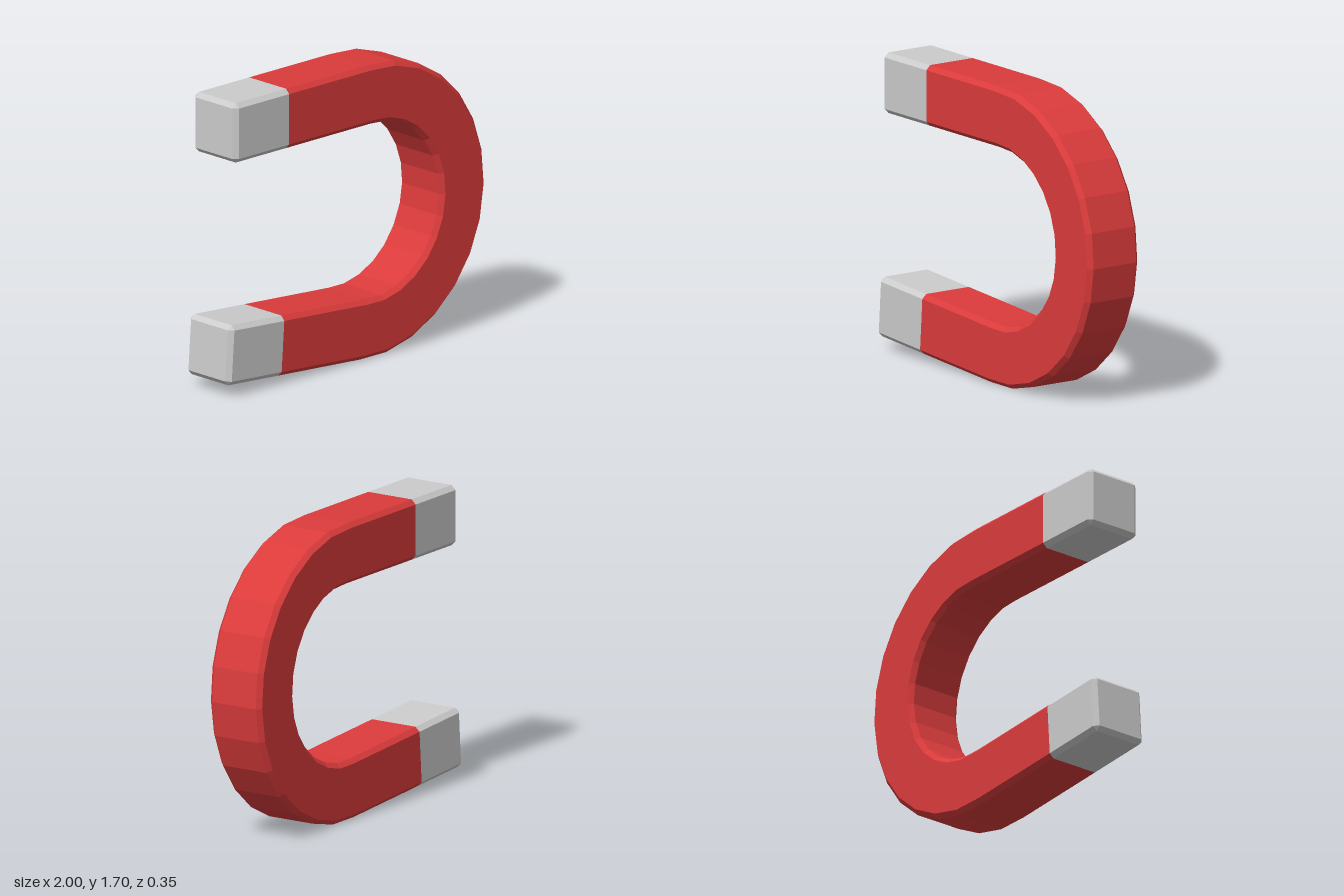
import * as THREE from 'three';

const HALF = 0.173;      // half thickness of the square bar
const BEVEL = 0.026;     // chamfer along every edge
const INNER = HALF - BEVEL;

// Chamfered square section, as [outward, z] pairs
const SECTION = [
  [HALF, -INNER], [HALF, INNER], [INNER, HALF], [-INNER, HALF],
  [-HALF, INNER], [-HALF, -INNER], [-INNER, -HALF], [INNER, -HALF],
];

// A station is a centre point, the angle of the outward direction, and
// whether its section shrinks to the chamfered end face.
function ring({ x, y, deg, end }) {
  const a = THREE.MathUtils.degToRad(deg);
  const clamp = v => (end ? THREE.MathUtils.clamp(v, -INNER, INNER) : v);
  return SECTION.map(([u, z]) => new THREE.Vector3(
    x + Math.cos(a) * clamp(u), y + Math.sin(a) * clamp(u), clamp(z)));
}

// Skin the stations, closing any chamfered end
function loft(name, stations, material) {
  const rings = stations.map(ring);
  const n = SECTION.length;
  const points = [];
  for (let i = 0; i < rings.length - 1; i++) {
    for (let j = 0; j < n; j++) {
      const k = (j + 1) % n;
      const [a, b, c, d] = [rings[i][j], rings[i][k], rings[i + 1][k], rings[i + 1][j]];
      points.push(a, b, d, b, c, d);
    }
  }
  const last = rings.length - 1;
  for (let j = 1; j < n - 1; j++) {
    if (stations[0].end) points.push(rings[0][0], rings[0][j + 1], rings[0][j]);
    if (stations[last].end) points.push(rings[last][0], rings[last][j], rings[last][j + 1]);
  }
  const geometry = new THREE.BufferGeometry().setFromPoints(points);
  geometry.computeVertexNormals();
  const mesh = new THREE.Mesh(geometry, material);
  mesh.name = name;
  return mesh;
}

export function createModel() {
  const group = new THREE.Group();
  group.name = 'horseshoeMagnet';
  const red = new THREE.MeshStandardMaterial({ color: 0xdb3b3b, flatShading: true });
  const grey = new THREE.MeshStandardMaterial({ color: 0xcccccc, flatShading: true });

  // Bend: a faceted arc of 14 segments
  const cx = 0.145, cy = 0.848, radius = 0.682, steps = 14;
  const bend = [];
  for (let i = 0; i <= steps; i++) {
    const deg = 93.2 - 13.58 * i;
    const a = THREE.MathUtils.degToRad(deg);
    bend.push({ x: cx + radius * Math.cos(a), y: cy + radius * Math.sin(a), deg });
  }

  // Upper arm runs level, lower arm splays by 4 degrees
  const upper = (x, end) => ({ x, y: bend[0].y, deg: 90, end });
  const foot = bend[steps];
  const slope = Math.tan(THREE.MathUtils.degToRad(4));
  const lower = (x, end) => ({ x, y: foot.y + (foot.x - x) * slope, deg: -94, end });

  group.add(
    loft('redBody', [upper(-0.53), ...bend, lower(-0.578)], red),
    loft('upperPoleTip', [upper(-0.945, true), upper(-0.945 + BEVEL), upper(-0.53)], grey),
    loft('lowerPoleTip', [lower(-0.578), lower(-0.99 + BEVEL), lower(-0.99, true)], grey),
  );
  return group;
}
